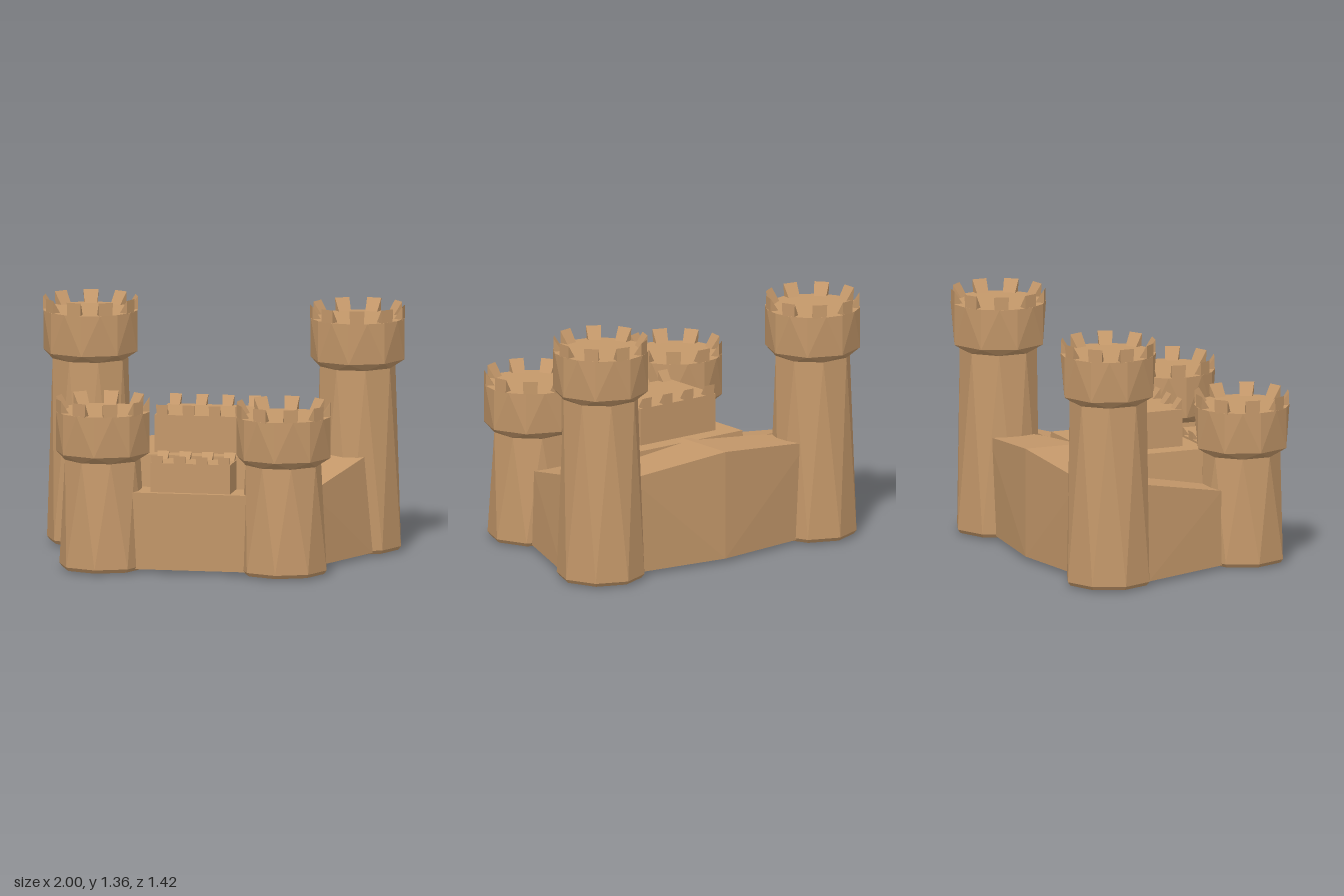
import * as THREE from 'three';
import { ConvexGeometry } from 'three/addons/geometries/ConvexGeometry.js';

const sand = new THREE.MeshStandardMaterial({ color: 0xc4986a });
sand.name = 'sand';

// convex solid through a handful of [x, y, z] corners
function hull(name, points) {
  const mesh = new THREE.Mesh(new ConvexGeometry(points.map(p => new THREE.Vector3(...p))), sand);
  mesh.name = name;
  return mesh;
}

// horizontal ring of n corners
function ring(n, r, y, phase = 0) {
  return Array.from({ length: n }, (_, i) => {
    const a = phase + i * Math.PI * 2 / n;
    return [r * Math.cos(a), y, r * Math.sin(a)];
  });
}

// rectangle of corners at height y
const rect = (x, z0, z1, y) => [[-x, y, z0], [x, y, z0], [x, y, z1], [-x, y, z1]];

// wedge with an upright outer face (+z) and a slope towards the inside
function merlon(w, h, d) {
  const pts = [];
  for (const s of [-1, 1]) {
    pts.push([s * w / 2, -0.005, 0], [s * w * 0.55, h, 0], [s * w * 0.45, -0.005, -d]);
  }
  return hull('merlon', pts);
}

// round tower: tapered shaft, flared collar, wide head and nine merlons
function tower(name, neckY, turn, mirror) {
  const g = new THREE.Group();
  g.name = name;
  const headY = neckY + 0.04, topY = neckY + 0.265;
  const half = Math.PI / 8;
  g.add(hull('shaft', [...ring(8, 0.225, 0.01), ...ring(8, 0.24, 0.03), ...ring(8, 0.21, neckY, half)]));
  g.add(hull('collar', [...ring(8, 0.21, neckY, half), ...ring(8, 0.26, headY)]));
  g.add(hull('head', [...ring(8, 0.26, headY), ...ring(16, 0.26, topY)]));
  for (let i = 0; i < 9; i++) {
    const a = (turn + i * 40) * Math.PI / 180;
    const m = merlon(0.075, 0.07, 0.05);
    m.position.set(mirror * 0.255 * Math.cos(a), topY, 0.255 * Math.sin(a));
    m.rotation.y = Math.atan2(m.position.x, m.position.z);
    g.add(m);
  }
  return g;
}

// block with a row of four merlons along its front and back edges
function battlementBlock(name, x, z0, z1, y0, y1, h, d) {
  const g = new THREE.Group();
  g.name = name;
  g.add(hull('block', [...rect(x, z0, z1, y0), ...rect(x, z0, z1, y1)]));
  for (let i = 0; i < 4; i++) {
    for (const front of [true, false]) {
      const m = merlon(0.06, h, d);
      m.position.set((i - 1.5) * x * 0.56, y1, front ? z1 : z0);
      if (!front) m.rotation.y = Math.PI;
      g.add(m);
    }
  }
  return g;
}

export function createModel() {
  const castle = new THREE.Group();
  castle.name = 'sandCastle';

  for (const s of [-1, 1]) {
    const side = s > 0 ? 'left' : 'right';

    // corner towers, with the left side mirrored from the right
    const back = tower(side + 'BackTower', 1.02, 180, -s);
    back.position.set(s * 0.74, 0, -0.45);
    const front = tower(side + 'FrontTower', 0.61, -10, -s);
    front.position.set(s * 0.5, 0, 0.45);
    castle.add(back, front);

    // side wall sloping down towards the front tower
    castle.add(hull(side + 'Wall', [
      [s * 0.82, 0.55, -0.26], [s * 0.57, 0.55, -0.26],
      [s * 0.62, 0.43, 0.28], [s * 0.43, 0.43, 0.28],
      [s * 0.86, 0.02, -0.26], [s * 0.59, 0.02, -0.26],
      [s * 0.64, 0.02, 0.27], [s * 0.45, 0.02, 0.27],
    ]));
  }

  // back wall, bulging and highest in the middle
  const backWall = [[0, 0.62, -0.615], [0, 0.62, -0.245], [0, 0.02, -0.615], [0, 0.02, -0.27]];
  for (const s of [-1, 1]) {
    backWall.push([s * 0.62, 0.56, -0.56], [s * 0.6, 0.56, -0.32],
      [s * 0.62, 0.02, -0.54], [s * 0.6, 0.02, -0.34]);
  }
  castle.add(hull('backWall', backWall));

  // front wall between the front towers
  castle.add(hull('frontWall', [...rect(0.33, 0.36, 0.54, 0.02), ...rect(0.35, 0.35, 0.56, 0.445)]));

  // tapered mound carrying the keep, then the keep and the gatehouse
  castle.add(hull('mound', [...rect(0.42, -0.335, 0.335, 0), ...rect(0.37, -0.3, 0.3, 0.615)]));
  castle.add(battlementBlock('keep', 0.26, -0.205, 0.205, 0.6, 0.82, 0.055, 0.045));
  castle.add(battlementBlock('gatehouse', 0.22, 0.34, 0.525, 0.43, 0.605, 0.04, 0.035));

  return castle;
}
